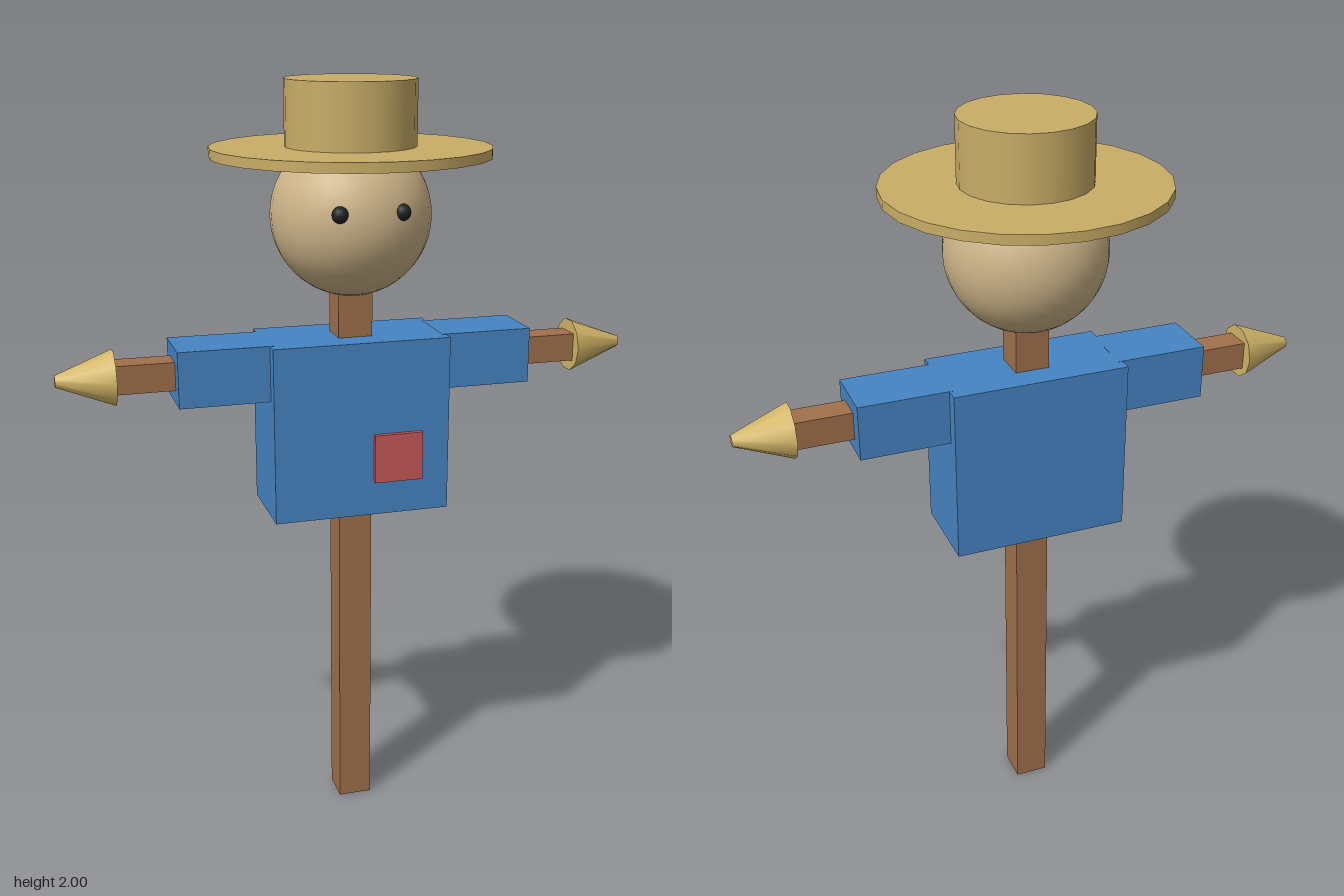
import * as THREE from 'three';

const material = (name, color) => {
  const m = new THREE.MeshStandardMaterial({ color });
  m.name = name;
  return m;
};

export function createModel() {
  const wood = material('brown wood', 0xa0704b);
  const shirtBlue = material('blue cloth', 0x4684c3);
  const patchRed = material('red patch cloth', 0xc85858);
  const hatStraw = material('hat straw', 0xc9ad67);
  const handStraw = material('hand straw', 0xd4b768);
  const sack = material('tan sackcloth', 0xcdb488);
  const black = material('eye black', 0x222222);

  const model = new THREE.Group();
  model.name = 'scarecrow';
  const add = (name, geometry, mat, x, y, z) => {
    const mesh = new THREE.Mesh(geometry, mat);
    mesh.name = name;
    mesh.position.set(x, y, z);
    model.add(mesh);
    return mesh;
  };

  // Wooden cross
  const armY = 1.283;
  add('post', new THREE.BoxGeometry(0.09, 1.52, 0.09), wood, 0, 0.76, 0);
  add('crossbar', new THREE.BoxGeometry(1.26, 0.074, 0.074), wood, 0, armY, 0);

  // Shirt with a sewn-on patch
  add('shirt', new THREE.BoxGeometry(0.47, 0.467, 0.234), shirtBlue, 0, 1.122, 0);
  add('patch', new THREE.BoxGeometry(0.13, 0.13, 0.02), patchRed, 0.095, 1.045, 0.12);

  // Head
  add('head', new THREE.SphereGeometry(0.206, 32, 24), sack, 0, 1.665, 0);

  // Mirrored sleeves, straw hands and eyes
  for (const [side, s] of [['left', 1], ['right', -1]]) {
    add(side + 'Sleeve', new THREE.BoxGeometry(0.245, 0.146, 0.164), shirtBlue, s * 0.3475, armY, 0);
    const hand = add(side + 'Hand', new THREE.CylinderGeometry(0.015, 0.072, 0.147, 10), handStraw, s * 0.6925, armY, 0);
    hand.rotation.z = -s * Math.PI / 2;
    add(side + 'Eye', new THREE.SphereGeometry(0.021, 14, 10), black, s * 0.079, 1.693, 0.183);
  }

  // Straw hat
  add('hatBrim', new THREE.CylinderGeometry(0.357, 0.357, 0.025, 24), hatStraw, 0, 1.823, 0);
  add('hatCrown', new THREE.CylinderGeometry(0.167, 0.167, 0.175, 20), hatStraw, 0, 1.9125, 0);

  return model;
}
